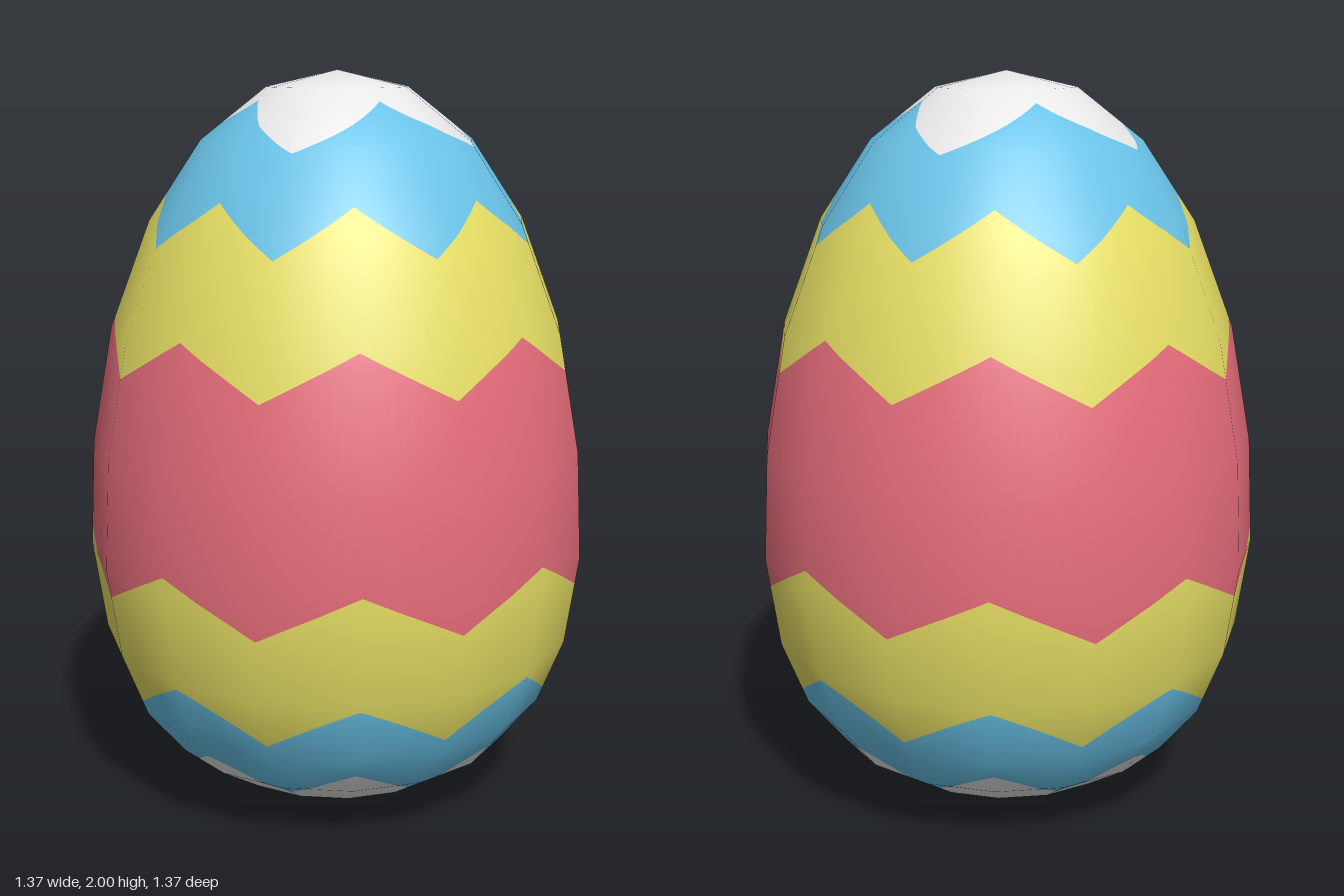
import * as THREE from 'three';

// Egg profile: [radius, height] of each ring, bottom to top
const PROFILE = [
  [0, 0], [0.18, 0.022], [0.34, 0.078], [0.475, 0.165], [0.58, 0.295], [0.65, 0.475], [0.685, 0.72],
  [0.67, 1.01], [0.612, 1.325], [0.503, 1.61], [0.363, 1.82], [0.188, 1.957], [0, 2],
];
const SIDES = 16;
const STEPS = 10; // slices across each flat side

// Profile normals [outward, up], averaged between neighbouring segments
const NORMALS = PROFILE.map((p, i) => {
  if (i === 0) return [0, -1];
  if (i === PROFILE.length - 1) return [0, 1];
  const a = PROFILE[i - 1], b = PROFILE[i + 1];
  const n = new THREE.Vector2(b[1] - a[1], a[0] - b[0]).normalize();
  return [n.x, n.y];
});

// Radius and normal of the profile at height y
function sample(y) {
  let i = 0;
  while (i < PROFILE.length - 2 && y > PROFILE[i + 1][1]) i++;
  const [r0, y0] = PROFILE[i], [r1, y1] = PROFILE[i + 1];
  const t = THREE.MathUtils.clamp((y - y0) / (y1 - y0), 0, 1);
  const mix = (a, b) => a + (b - a) * t;
  return {
    r: mix(r0, r1),
    out: mix(NORMALS[i][0], NORMALS[i + 1][0]),
    up: mix(NORMALS[i][1], NORMALS[i + 1][1]),
  };
}

// Zigzag line: height at side position u (0..16), rising from low to high over `half` sides
const zigzag = (low, high, half = 1) => (u) => {
  const t = (u / half) % 2;
  return low + (high - low) * (t <= 1 ? t : 2 - t);
};

// One painted band of the shell between two height lines
function bandGeometry(lower, upper) {
  const positions = [], normals = [], index = [];
  const rows = PROFILE.length + 2;
  const angle = (i) => (i / SIDES) * Math.PI * 2;
  for (let side = 0; side < SIDES; side++) {
    const a = angle(side), b = angle(side + 1);
    for (let k = 0; k <= STEPS; k++) {
      const s = k / STEPS;
      const dx = Math.sin(a) * (1 - s) + Math.sin(b) * s;
      const dz = Math.cos(a) * (1 - s) + Math.cos(b) * s;
      const lo = lower(side + s), hi = upper(side + s);
      const heights = [lo, ...PROFILE.map((p) => THREE.MathUtils.clamp(p[1], lo, hi)), hi];
      const base = positions.length / 3;
      heights.forEach((y, j) => {
        const { r, out, up } = sample(y);
        const n = new THREE.Vector3(dx * out, up, dz * out).normalize();
        positions.push(dx * r, y, dz * r);
        normals.push(n.x, n.y, n.z);
        if (k === STEPS || j === rows - 1) return;
        const p = base + j, q = p + rows;
        // skip rows collapsed onto a boundary line
        index.push(p, q, q + 1, p, q + 1, p + 1);
      });
    }
  }
  const vertex = (i) => new THREE.Vector3().fromArray(positions, i * 3);
  const kept = [];
  for (let i = 0; i < index.length; i += 3) {
    const [a, b, c] = [vertex(index[i]), vertex(index[i + 1]), vertex(index[i + 2])];
    if (b.sub(a).cross(c.sub(a)).length() > 1e-9) kept.push(index[i], index[i + 1], index[i + 2]);
  }
  const g = new THREE.BufferGeometry();
  g.setAttribute('position', new THREE.Float32BufferAttribute(positions, 3));
  g.setAttribute('normal', new THREE.Float32BufferAttribute(normals, 3));
  g.setIndex(kept);
  return g;
}

export function createModel() {
  const paint = (name, color) => {
    const m = new THREE.MeshStandardMaterial({ color });
    m.name = name;
    return m;
  };
  const white = paint('white', 0xe8e8e8);
  const blue = paint('blue', 0x6ac3e8);
  const yellow = paint('yellow', 0xe6de64);
  const red = paint('red', 0xe66d7b);

  // Boundary lines, bottom to top; the top one has only four points
  const lines = [
    () => 0,
    zigzag(0.125, 0.235),
    zigzag(0.335, 0.46),
    zigzag(0.645, 0.77),
    zigzag(1.23, 1.355),
    zigzag(1.56, 1.685),
    zigzag(1.805, 1.925, 2),
    () => 2,
  ];
  const bands = [
    ['bottomCap', white], ['lowerBlueBand', blue], ['lowerYellowBand', yellow], ['middleRedBand', red],
    ['upperYellowBand', yellow], ['upperBlueBand', blue], ['topCap', white],
  ];

  const egg = new THREE.Group();
  egg.name = 'paintedEgg';
  bands.forEach(([name, material], i) => {
    const mesh = new THREE.Mesh(bandGeometry(lines[i], lines[i + 1]), material);
    mesh.name = name;
    egg.add(mesh);
  });
  return egg;
}
